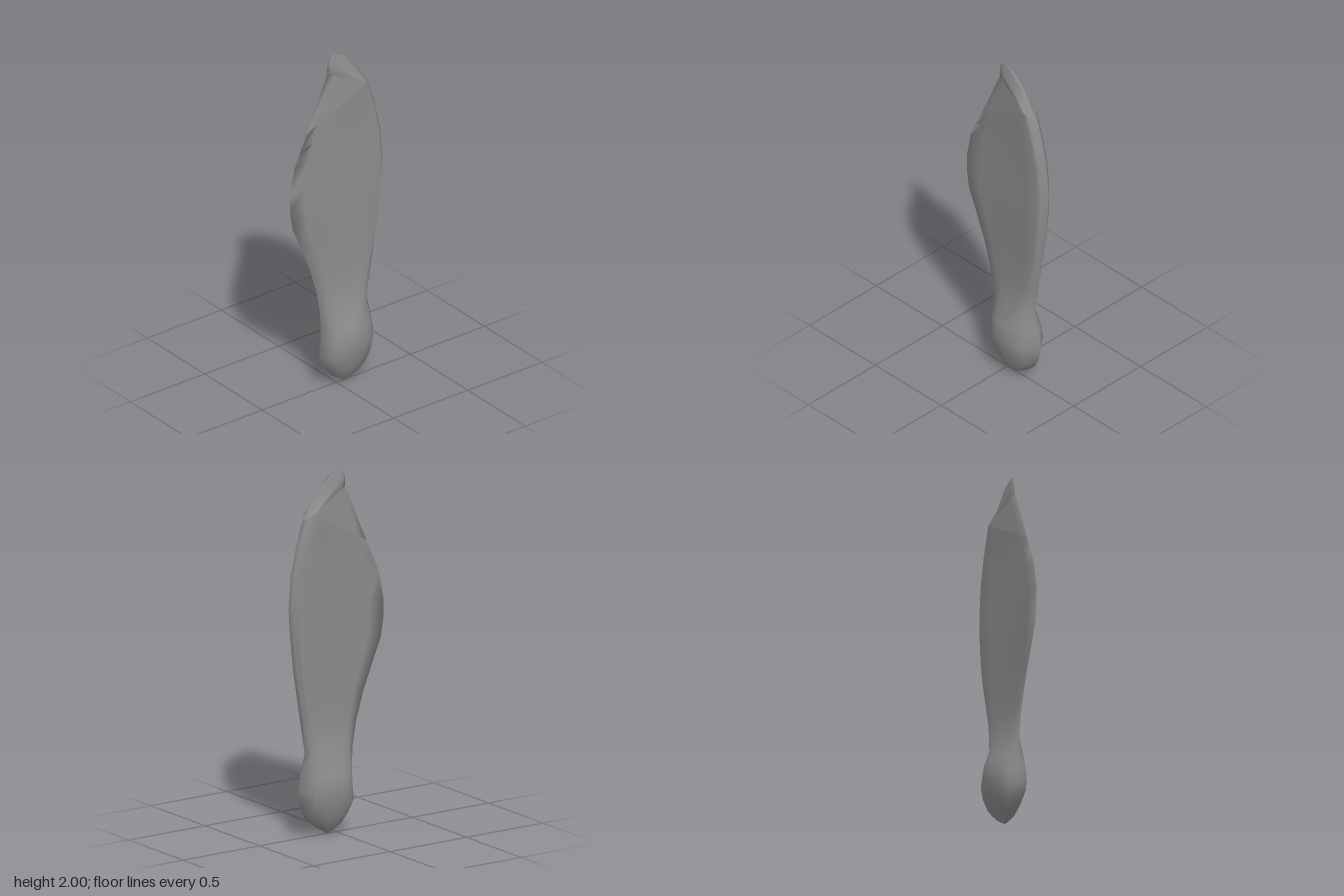
import * as THREE from 'three';

// Cross-sections: left edge, ridge (thickest line), right edge as x, y pairs,
// then half thickness and roundness (0 = thin wedge, 1 = round lens).
const seedAndWing = [
  [0.05, 0.00, 0.055, 0.00, 0.06, 0.00, 0.002, 1],
  [-0.03, 0.05, 0.06, 0.045, 0.14, 0.05, 0.045, 1],
  [-0.075, 0.11, 0.06, 0.10, 0.205, 0.105, 0.07, 1],
  [-0.11, 0.18, 0.065, 0.18, 0.238, 0.18, 0.095, 1],
  [-0.097, 0.26, 0.07, 0.26, 0.247, 0.25, 0.105, 1],
  [-0.10, 0.35, 0.08, 0.35, 0.23, 0.35, 0.096, 0.9],
  [-0.11, 0.46, 0.13, 0.46, 0.203, 0.46, 0.05, 0.7],
  [-0.135, 0.60, 0.18, 0.62, 0.23, 0.62, 0.036, 0.35],
  [-0.18, 0.75, 0.215, 0.78, 0.255, 0.78, 0.04, 0.1],
  [-0.24, 0.90, 0.24, 0.92, 0.278, 0.92, 0.045, 0],
  [-0.295, 1.03, 0.255, 1.06, 0.293, 1.06, 0.047, 0],
  [-0.312, 1.14, 0.265, 1.18, 0.304, 1.18, 0.047, 0],
  [-0.312, 1.24, 0.267, 1.30, 0.309, 1.28, 0.046, 0],
  [-0.28, 1.40, 0.255, 1.46, 0.295, 1.46, 0.045, 0],
  [-0.24, 1.49, 0.22, 1.62, 0.257, 1.62, 0.045, 0.1],
  [-0.20, 1.58, 0.165, 1.79, 0.217, 1.75, 0.045, 0.2],
];
const foldEdge = [-0.06, 1.90, 0.165, 1.79, 0.217, 1.75, 0.045, 0.2];
const curledTip = [
  foldEdge,
  [-0.062, 1.925, 0.08, 1.86, 0.165, 1.845, 0.027, 0.6],
  [-0.06, 1.95, 0.02, 1.91, 0.12, 1.91, 0.017, 0.8],
  [-0.052, 1.98, -0.01, 1.965, 0.06, 1.97, 0.008, 1],
  [-0.035, 1.995, -0.01, 1.99, 0.02, 1.99, 0.004, 1],
  [-0.03, 2.00, -0.02, 2.00, -0.01, 2.00, 0.001, 1],
];

const LEFT = 6, RIGHT = 3; // steps on either side of the ridge
const ACROSS = LEFT + RIGHT, RING = 2 * ACROSS;

// One point of a closed section: out along the front, home along the back
function sectionPoint([lx, ly, mx, my, rx, ry, half, round], i) {
  const step = i <= ACROSS ? i : RING - i;
  const onLeft = step <= LEFT;
  const s = onLeft ? step / LEFT : (ACROSS - step) / RIGHT;
  const wedge = onLeft ? Math.pow(s, 1.35) : s;
  const lens = Math.sqrt(1 - (1 - s) ** 2);
  const z = half * THREE.MathUtils.lerp(wedge, lens, round);
  const [ex, ey] = onLeft ? [lx, ly] : [rx, ry];
  return [ex + (mx - ex) * s, ey + (my - ey) * s, i <= ACROSS ? z : -z];
}

// Lofts a shell through the sections, smooth around both rims
function loft(rows) {
  const positions = [], index = [];
  rows.forEach((row, r) => {
    for (let i = 0; i < RING; i++) {
      positions.push(...sectionPoint(row, i));
      if (r === 0) continue;
      const a = (r - 1) * RING + i, b = (r - 1) * RING + (i + 1) % RING;
      index.push(a, b, b + RING, a, b + RING, a + RING);
    }
  });
  const geometry = new THREE.BufferGeometry();
  geometry.setAttribute('position', new THREE.Float32BufferAttribute(positions, 3));
  geometry.setIndex(index);
  geometry.computeVertexNormals();
  return geometry;
}

export function createModel() {
  const model = new THREE.Group();
  model.name = 'wingedSeed';
  const material = new THREE.MeshStandardMaterial({ color: 0x8c8c8c, side: THREE.DoubleSide });

  // Separate lofts keep the creases around the folded corner sharp
  const parts = {
    seedAndWing,
    foldedCorner: [seedAndWing[seedAndWing.length - 1], foldEdge],
    curledTip,
  };
  for (const [name, rows] of Object.entries(parts)) {
    const mesh = new THREE.Mesh(loft(rows), material);
    mesh.name = name;
    model.add(mesh);
  }
  return model;
}
